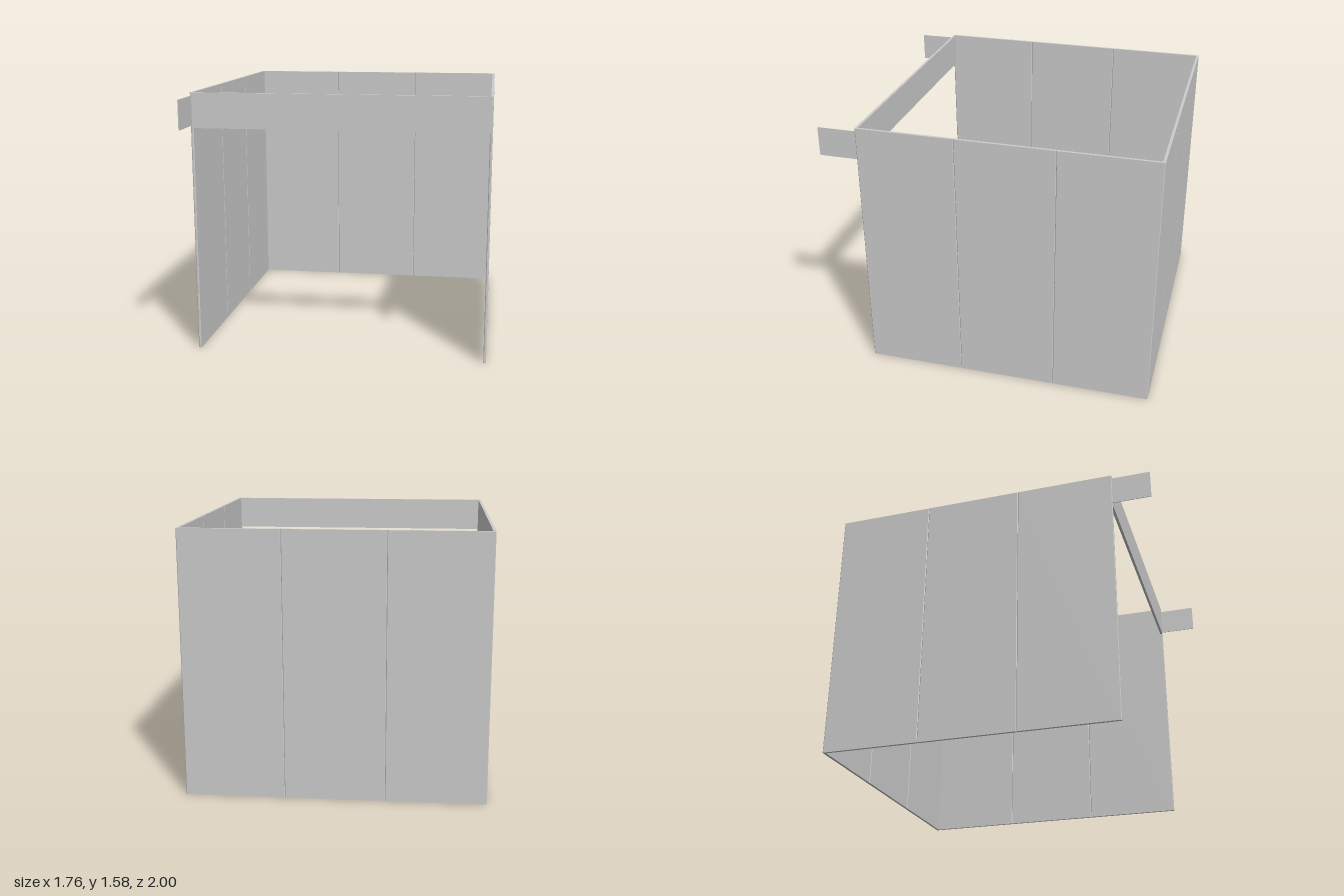
import * as THREE from 'three';

const HEIGHT = 1.58, HALF_X = 0.882, BACK = -1, FRONT = 0.768;
const THICK = 0.016, CHAMFER = 0.004;

// Upright board with chamfered long edges; width along x, centred on x and z, base at y = 0
function boardGeometry(width, height) {
  const w = width / 2, t = THICK / 2, c = CHAMFER;
  const outline = new THREE.Shape([
    [-w + c, -t], [w - c, -t], [w, -t + c], [w, t - c],
    [w - c, t], [-w + c, t], [-w, t - c], [-w, -t + c],
  ].map(([x, y]) => new THREE.Vector2(x, y)));
  return new THREE.ExtrudeGeometry(outline, { depth: height, bevelEnabled: false }).rotateX(-Math.PI / 2);
}

export function createModel() {
  const model = new THREE.Group();
  const material = new THREE.MeshStandardMaterial({ color: 0xcccccc, flatShading: true });
  const add = (parent, name, geometry, x, y, z, turn = 0) => {
    const mesh = new THREE.Mesh(geometry, material);
    mesh.name = name;
    mesh.position.set(x, y, z);
    mesh.rotation.y = turn;
    parent.add(mesh);
  };
  const wall = (name) => {
    const group = new THREE.Group();
    group.name = name;
    model.add(group);
    return group;
  };

  // Three panels per wall
  const backWidth = (2 * HALF_X) / 3, sideWidth = (FRONT - BACK) / 3;
  const backPanel = boardGeometry(backWidth, HEIGHT);
  const sidePanel = boardGeometry(sideWidth, HEIGHT);
  const back = wall('backWall');
  for (let i = 0; i < 3; i++) {
    add(back, 'backPanel', backPanel, (i - 1) * backWidth, 0, BACK + THICK / 2);
  }
  for (const side of [1, -1]) {
    const group = wall(side > 0 ? 'leftWall' : 'rightWall');
    for (let i = 0; i < 3; i++) {
      add(group, 'sidePanel', sidePanel, side * (HALF_X - THICK / 2), 0, BACK + (i + 0.5) * sideWidth, Math.PI / 2);
    }
    // Thin plate projecting forward from the front corner
    add(model, side > 0 ? 'leftSidePlate' : 'rightSidePlate',
      new THREE.BoxGeometry(0.004, 0.175, 1 - FRONT + 0.004), side * 0.876, 1.4725, (1 + FRONT - 0.004) / 2);
  }

  // Header board across the open front
  add(model, 'frontHeader', boardGeometry(2 * HALF_X, 0.21), 0, HEIGHT - 0.21, FRONT - THICK / 2);
  return model;
}
